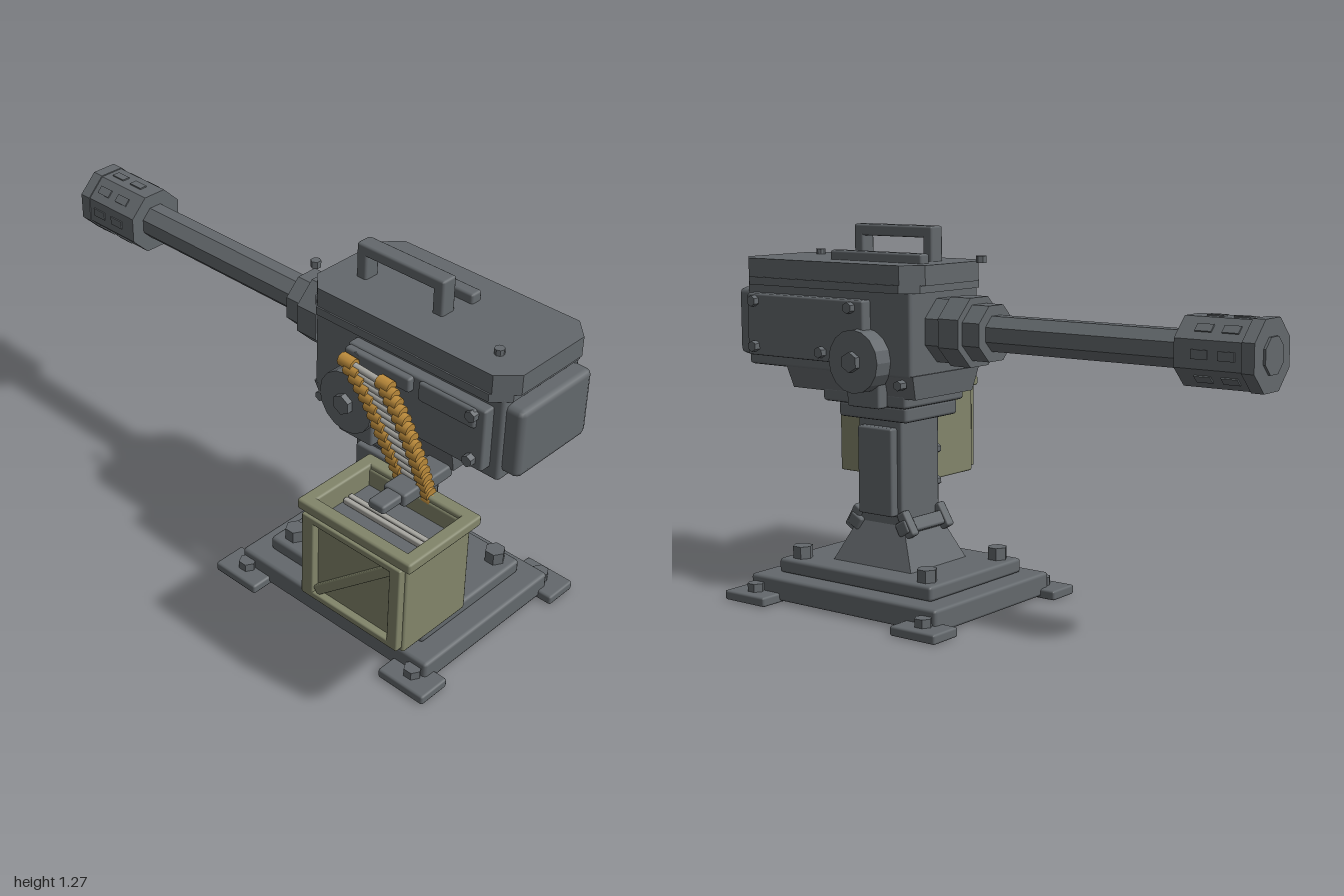
import * as THREE from 'three';
import { RoundedBoxGeometry } from 'three/addons/geometries/RoundedBoxGeometry.js';

const mat = (name, color, extra = {}) => Object.assign(new THREE.MeshStandardMaterial({ color, ...extra }), { name });

export function createModel() {
  const root = new THREE.Group();
  root.name = 'mountedTurret';
  const steel = mat('gunmetal', 0x63686c);
  const olive = mat('olive', 0x82856a);
  const brass = mat('brass', 0xbd8c3c);
  const silver = mat('silver', 0xa9a8a2);
  const CX = 0.415, CZ = -0.0875; // column axis

  const add = (name, geo, m = steel, parent = root) => {
    const mesh = new THREE.Mesh(geo, m);
    mesh.name = name;
    parent.add(mesh);
    return mesh;
  };
  // Softened box given by its limits on each axis
  const box = (name, x0, x1, y0, y1, z0, z1, m = steel, r = 0.008) => {
    const w = x1 - x0, h = y1 - y0, d = z1 - z0;
    const rad = Math.min(r, w / 3, h / 3, d / 3);
    const mesh = add(name, new RoundedBoxGeometry(w, h, d, 1, rad), m);
    mesh.position.set((x0 + x1) / 2, (y0 + y1) / 2, (z0 + z1) / 2);
    return mesh;
  };
  // Box whose upper face is scaled inward or outward
  const taper = (name, x, z, y0, y1, w0, d0, w1, d1) => {
    const g = new THREE.BoxGeometry(w0, y1 - y0, d0);
    const p = g.attributes.position;
    for (let i = 0; i < p.count; i++)
      if (p.getY(i) > 0) p.setXYZ(i, p.getX(i) * w1 / w0, p.getY(i), p.getZ(i) * d1 / d0);
    g.computeVertexNormals();
    add(name, g).position.set(x, (y0 + y1) / 2, z);
  };
  // Flat-sided prism along an axis, from a to b on that axis
  const prism = (name, axis, r, sides, a, b, u, v, turn = 0) => {
    const g = new THREE.CylinderGeometry(r, r, b - a, sides).toNonIndexed();
    g.computeVertexNormals();
    g.rotateY(turn);
    const m = (a + b) / 2;
    if (axis === 'x') g.rotateZ(-Math.PI / 2).translate(m, u, v);
    if (axis === 'y') g.translate(u, m, v);
    if (axis === 'z') g.rotateX(Math.PI / 2).translate(u, v, m);
    return add(name, g);
  };

  // Stepped base with four bolted feet
  box('basePlate', 0.01, 0.825, 0.006, 0.086, -0.395, 0.225, steel, 0.012);
  box('upperBasePlate', 0.08, 0.752, 0.086, 0.138, -0.332, 0.16, steel, 0.012);
  for (const sx of [-1, 1]) for (const sz of [-1, 1]) {
    const x = CX + sx * 0.369, z = CZ + sz * 0.325;
    box('foot', x - 0.092, x + 0.092, 0, 0.034, z - 0.06, z + 0.06);
    prism('footBolt', 'y', 0.03, 6, 0.03, 0.062, x, z, Math.PI / 6);
    prism('baseBolt', 'y', 0.035, 6, 0.13, 0.18, CX + sx * 0.275, CZ + sz * 0.19, Math.PI / 6);
  }

  // Pedestal and column
  taper('pedestal', CX, CZ, 0.13, 0.3, 0.35, 0.3, 0.18, 0.18);
  for (const s of [-1, 1]) {
    const bar = box('clampBar', -0.026, 0.026, -0.024, 0.024, -0.115, 0.115);
    bar.position.set(CX + s * 0.105, 0.275, CZ);
    bar.rotation.z = s * 0.5;
    for (const t of [-1, 1]) {
      const lug = box('clampLug', -0.02, 0.02, -0.045, 0.045, -0.017, 0.017);
      lug.position.set(CX + s * 0.115, 0.287, CZ + t * 0.093);
      lug.rotation.z = s * 0.55;
    }
  }
  box('column', 0.32, 0.51, 0.27, 0.66, -0.185, 0.012);
  box('columnFrontPanel', 0.34, 0.49, 0.335, 0.6, 0, 0.036);
  box('columnBackPanel', 0.34, 0.49, 0.31, 0.61, -0.214, -0.175);
  for (const x of [0.362, 0.475]) for (const y of [0.395, 0.507])
    prism('columnBolt', 'z', 0.018, 6, 0.03, 0.056, x, y);

  // Stepped cradle under the receiver
  box('lowerCollar', 0.268, 0.565, 0.635, 0.69, -0.222, 0.05, steel, 0.012);
  box('upperCollar', 0.255, 0.62, 0.685, 0.735, -0.24, 0.07, steel, 0.012);
  taper('cradle', 0.485, CZ, 0.72, 0.8, 0.54, 0.3, 0.56, 0.35);

  // Receiver with rear cap and bevelled lid
  box('receiver', 0.21, 0.938, 0.79, 1.085, -0.265, 0.09, steel, 0.012);
  box('rearCap', 0.92, 0.997, 0.82, 1.052, -0.252, 0.077, steel, 0.02);
  const lidSlab = (name, x0, x1, half, cut, y0, y1) => {
    const s = new THREE.Shape([
      [x0 + cut, -half], [x1 - cut, -half], [x1, cut - half], [x1, half - cut],
      [x1 - cut, half], [x0 + cut, half], [x0, half - cut], [x0, cut - half],
    ].map(([x, y]) => new THREE.Vector2(x, y)));
    const g = new THREE.ExtrudeGeometry(s, { depth: y1 - y0, bevelEnabled: false });
    g.rotateX(-Math.PI / 2).translate(0, y0, CZ);
    add(name, g);
  };
  lidSlab('lidRim', 0.188, 0.952, 0.205, 0.05, 1.068, 1.095);
  lidSlab('lid', 0.178, 0.968, 0.2, 0.06, 1.092, 1.158);
  box('lidRail', 0.232, 0.628, 1.15, 1.19, -0.182, -0.138);
  prism('lidBolt', 'y', 0.016, 8, 1.15, 1.177, 0.85, 0.012);
  prism('frontSight', 'y', 0.017, 6, 1.155, 1.178, 0.142, 0.02);

  // Carrying handle
  box('handleGrip', 0.27, 0.61, 1.236, 1.275, -0.08, -0.022);
  for (const x of [0.27, 0.57]) box('handleLeg', x, x + 0.04, 1.15, 1.27, -0.08, -0.022);

  // Side plates, bolts and pivots on both flanks
  for (const s of [-1, 1]) {
    const flank = (name, x0, x1, y0, y1, a, b) =>
      box(name, x0, x1, y0, y1, ...[CZ + s * a, CZ + s * b].sort((p, q) => p - q));
    const stud = (name, r, n, a, b, x, y) =>
      prism(name, 'z', r, n, ...[CZ + s * a, CZ + s * b].sort((p, q) => p - q), x, y);
    flank('sidePlate', 0.38, 0.905, 0.828, 1.04, 0.17, 0.216);
    for (const [x, y] of [[0.865, 1.015], [0.865, 0.86], [0.56, 0.86], [0.43, 1.015]])
      stud('sideBolt', 0.019, 6, 0.21, 0.238, x, y);
    stud('receiverBolt', 0.017, 6, 0.17, 0.2, 0.25, 0.77);
    flank('pivotBracket', 0.33, 0.47, 0.685, 0.83, 0.152, 0.198);
    stud('pivotDisc', 0.105, 16, 0.17, 0.245, 0.4, 0.842);
    stud('pivotHub', 0.034, 6, 0.24, 0.265, 0.4, 0.842);
  }
  box('feedPort', 0.385, 0.64, 0.985, 1.035, 0.09, 0.15);
  box('feedRail', 0.665, 0.875, 0.97, 1.035, 0.1, 0.14);

  // Barrel, stepped mount and slotted muzzle
  const BY = 0.94, TURN = Math.PI / 8;
  prism('barrel', 'x', 0.062, 8, -0.75, 0.03, BY, CZ, TURN);
  prism('barrelCollar', 'x', 0.098, 8, 0, 0.09, BY, CZ, TURN);
  prism('barrelFlange', 'x', 0.122, 8, 0.068, 0.15, BY, CZ, TURN);
  prism('barrelMount', 'x', 0.113, 8, 0.14, 0.22, BY, CZ, TURN);
  prism('muzzle', 'x', 0.113, 8, -0.985, -0.725, BY, CZ, TURN);
  prism('muzzleRim', 'x', 0.117, 8, -0.992, -0.95, BY, CZ, TURN);
  prism('muzzleBore', 'x', 0.06, 8, -1, -0.985, BY, CZ, TURN);
  for (let i = 0; i < 8; i++) for (const x of [-0.9, -0.81]) {
    const g = new THREE.BoxGeometry(0.055, 0.012, 0.028);
    g.translate(0, 0.103, 0).rotateX(i * Math.PI / 4);
    add('muzzleRib', g).position.set(x, BY, CZ);
  }

  // Open ammunition box
  const [X0, X1, Z0, Z1] = [0.515, 0.915, 0.17, 0.45];
  box('ammoBoxFloor', X0, X1, 0.35, 0.38, Z0, Z1, olive);
  for (const [a, b, c, d] of [[X0, X0 + 0.03, Z0, Z1], [X1 - 0.03, X1, Z0, Z1], [X0, X1, Z0, Z0 + 0.03], [X0, X1, Z1 - 0.03, Z1]])
    box('ammoBoxWall', a, b, 0.35, 0.69, c, d, olive);
  for (const [a, b, c, d] of [[0.5, 0.545, 0.15, 0.468], [0.893, 0.938, 0.15, 0.468], [0.5, 0.938, 0.15, 0.195], [0.5, 0.938, 0.425, 0.468]])
    box('ammoBoxLip', a, b, 0.668, 0.704, c, d, olive);
  for (const [a, b, c, d] of [[0.525, 0.572, 0.365, 0.668], [0.868, 0.908, 0.365, 0.668], [0.525, 0.908, 0.365, 0.388], [0.525, 0.908, 0.645, 0.668]])
    box('ammoBoxFrame', a, b, c, d, 0.44, 0.474, olive, 0.005);
  const brace = box('ammoBoxBrace', -0.19, 0.19, -0.016, 0.016, -0.012, 0.012, olive, 0.004);
  brace.position.set(0.72, 0.517, 0.455);
  brace.rotation.z = Math.atan2(0.257, 0.296);
  box('ammoBoxTray', X0 + 0.02, X1 - 0.02, 0.6, 0.63, Z0 + 0.02, Z1 - 0.02);
  for (const z of [0.292, 0.314]) box('looseRound', 0.55, 0.87, 0.63, 0.65, z - 0.009, z + 0.009, silver, 0.005);
  box('boxArm', 0.66, 0.745, 0.69, 0.735, 0.05, 0.27);
  box('boxArmTip', 0.672, 0.733, 0.7, 0.73, 0.26, 0.35);

  // Ammunition belt: rounds strung between two curved edges
  const curve = pts => new THREE.CatmullRomCurve3(pts.map(p => new THREE.Vector3(...p)));
  const left = curve([[0.405, 1.008, 0.172], [0.52, 0.92, 0.19], [0.595, 0.81, 0.192], [0.655, 0.695, 0.178]]);
  const right = curve([[0.585, 1.008, 0.172], [0.675, 0.92, 0.19], [0.74, 0.81, 0.192], [0.772, 0.695, 0.178]]);
  const rod = (name, a, b, r, m) => {
    const mesh = add(name, new THREE.CylinderGeometry(r, r, a.distanceTo(b), 8), m);
    mesh.position.lerpVectors(a, b, 0.5);
    mesh.quaternion.setFromUnitVectors(new THREE.Vector3(0, 1, 0), b.clone().sub(a).normalize());
  };
  const N = 15;
  for (let i = 0; i < N; i++) {
    const a = left.getPoint(i / (N - 1)), b = right.getPoint(i / (N - 1));
    b.y -= 0.012;
    const at = t => a.clone().lerp(b, t);
    rod('round', at(0.1), at(0.9), 0.011, silver);
    rod('leftLink', at(-0.05), at(0.24), 0.022, brass);
    rod('rightLink', at(0.78), at(1.05), 0.022, brass);
  }
  return root;
}
